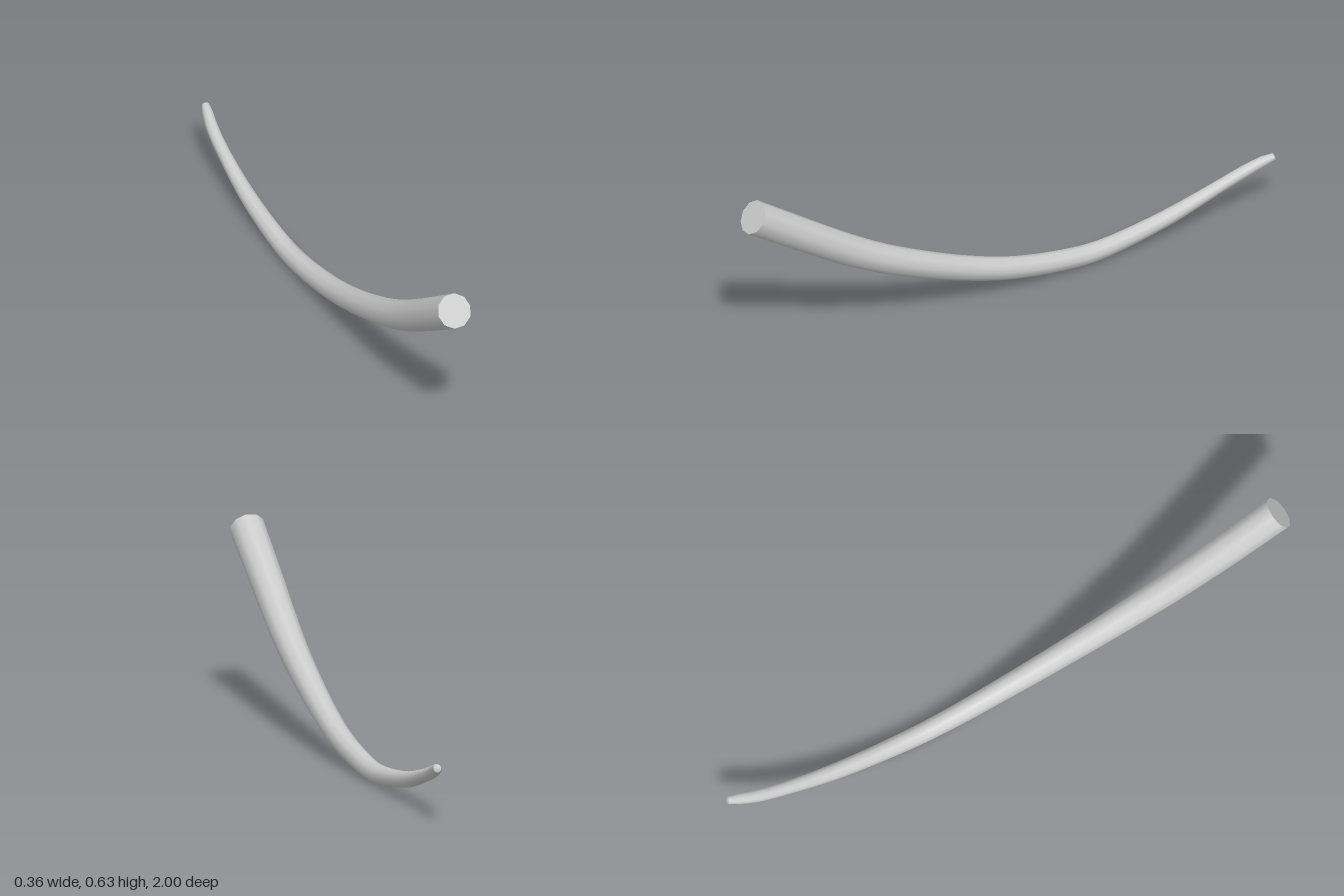
import * as THREE from 'three';

// Centre line and radius, from thick front end to thin back tip: x, y, z, r
const STATIONS = [
  [-0.123, 0.592, 0.968, 0.058],
  [-0.096, 0.465, 0.78, 0.055],
  [-0.067, 0.348, 0.6, 0.052],
  [-0.043, 0.265, 0.45, 0.048],
  [-0.006, 0.155, 0.2, 0.042],
  [0.021, 0.088, 0, 0.038],
  [0.043, 0.049, -0.2, 0.035],
  [0.059, 0.039, -0.34, 0.033],
  [0.088, 0.073, -0.6, 0.028],
  [0.117, 0.128, -0.8, 0.022],
  [0.137, 0.161, -0.9, 0.021],
  [0.158, 0.185, -0.966, 0.018],
  [0.168, 0.192, -0.992, 0.013],
];
const SIDES = 10;
const SEGMENTS = 60;

// Radius at a given z, blended between neighbouring stations
function radiusAt(z) {
  for (let i = 1; i < STATIONS.length; i++) {
    const a = STATIONS[i - 1], b = STATIONS[i];
    if (z >= b[2]) {
      const t = THREE.MathUtils.clamp((z - a[2]) / (b[2] - a[2]), 0, 1);
      return a[3] + (b[3] - a[3]) * t;
    }
  }
  return STATIONS[STATIONS.length - 1][3];
}

// Flat fan closing one ring of the tube
function endCap(tube, ring, centre, flip) {
  const src = tube.attributes.position, pos = [...centre.toArray()], index = [];
  for (let j = 0; j <= SIDES; j++) {
    const k = ring * (SIDES + 1) + j;
    pos.push(src.getX(k), src.getY(k), src.getZ(k));
    if (j < SIDES) index.push(0, ...(flip ? [j + 2, j + 1] : [j + 1, j + 2]));
  }
  const geo = new THREE.BufferGeometry();
  geo.setAttribute('position', new THREE.Float32BufferAttribute(pos, 3));
  geo.setIndex(index);
  geo.computeVertexNormals();
  return geo;
}

export function createModel() {
  const group = new THREE.Group();
  group.name = 'curvedTaperedRod';
  const material = new THREE.MeshStandardMaterial({ color: 0xcccccc });
  const add = (name, geo) => {
    const mesh = new THREE.Mesh(geo, material);
    mesh.name = name;
    group.add(mesh);
  };

  // Tapered shaft: unit tube shrunk ring by ring towards the centre line
  const curve = new THREE.CatmullRomCurve3(STATIONS.map(([x, y, z]) => new THREE.Vector3(x, y, z)));
  const tube = new THREE.TubeGeometry(curve, SEGMENTS, 1, SIDES, false);
  const pos = tube.attributes.position, v = new THREE.Vector3();
  for (let i = 0; i <= SEGMENTS; i++) {
    const c = curve.getPointAt(i / SEGMENTS), r = radiusAt(c.z);
    for (let j = 0; j <= SIDES; j++) {
      const k = i * (SIDES + 1) + j;
      v.fromBufferAttribute(pos, k).sub(c).multiplyScalar(r).add(c);
      pos.setXYZ(k, v.x, v.y, v.z);
    }
  }
  add('shaft', tube);

  // Flat cut at the thick end, slightly domed tip at the thin end
  add('frontEnd', endCap(tube, 0, curve.getPointAt(0), false));
  const tip = curve.getPointAt(1).addScaledVector(curve.getTangentAt(1), 0.006);
  add('tip', endCap(tube, SEGMENTS, tip, true));
  return group;
}
